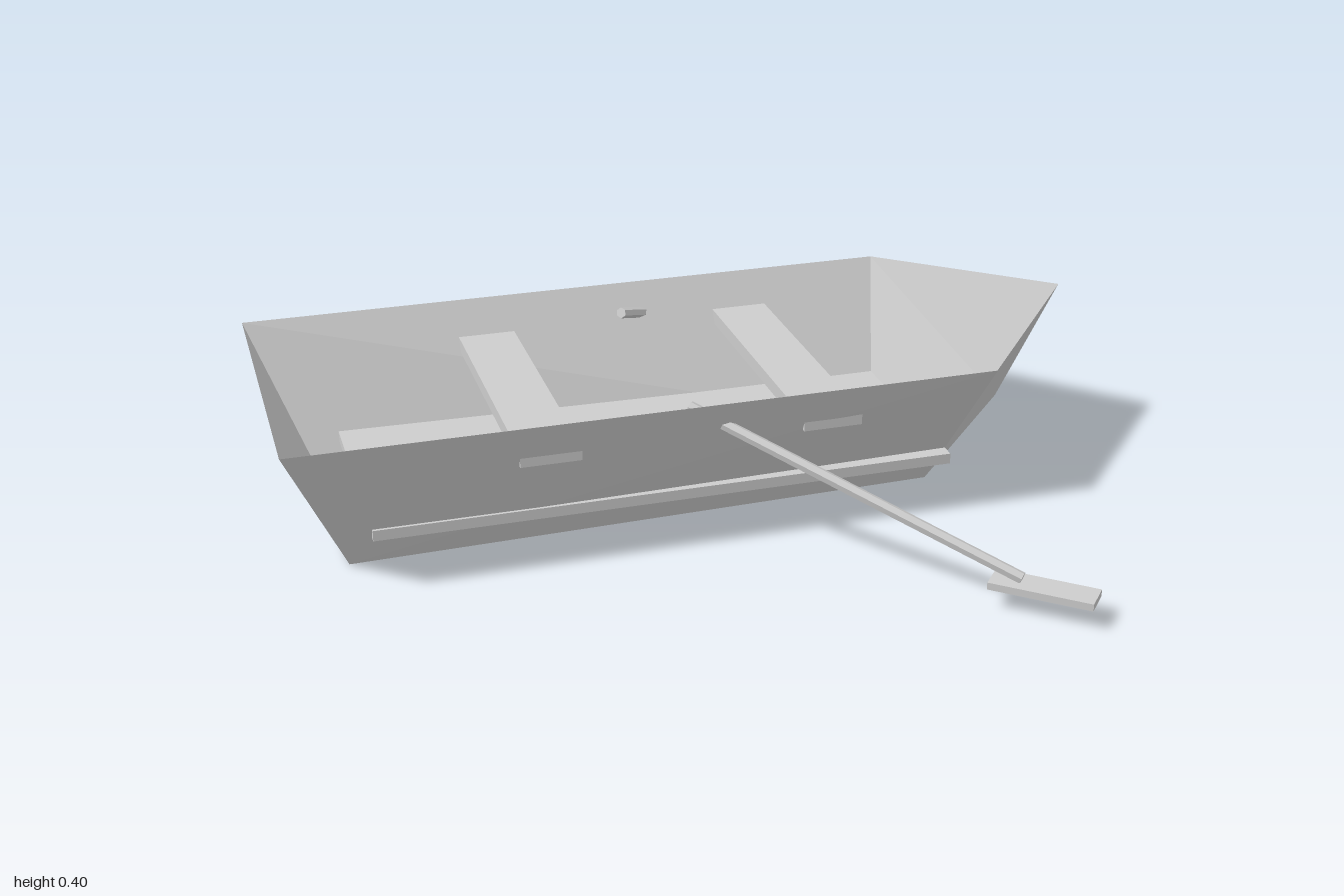
import * as THREE from 'three';

const v = (x, y, z) => new THREE.Vector3(x, y, z);

// Flat faces (3 or 4 corners each) as one unindexed surface
function facesGeometry(faces) {
  const pts = [];
  for (const f of faces) {
    for (let i = 1; i < f.length - 1; i++) pts.push(f[0], f[i], f[i + 1]);
  }
  const g = new THREE.BufferGeometry().setFromPoints(pts);
  g.computeVertexNormals();
  return g;
}

export function createModel() {
  const boat = new THREE.Group();
  boat.name = 'rowingBoat';
  const grey = new THREE.MeshStandardMaterial({ color: 0xcccccc, flatShading: true, side: THREE.DoubleSide });
  grey.name = 'paleGrey';

  const add = (name, geometry, parent = boat) => {
    const m = new THREE.Mesh(geometry, grey);
    m.name = name;
    parent.add(m);
    return m;
  };
  const box = (name, size, pos, parent) => {
    const m = add(name, new THREE.BoxGeometry(...size), parent);
    m.position.set(...pos);
    return m;
  };

  // Open hull shell: corners on the +z side, mirrored for the other side
  const side = (s) => ({
    sternLow: v(-0.85, 0, 0.22 * s), sternTop: v(-1, 0.37, 0.4 * s),
    bowLow: v(0.58, 0, 0.18 * s), bowTop: v(0.65, 0.37, 0.4 * s),
  });
  const L = side(1), R = side(-1);
  const keel = v(0.845, 0.112, 0), tip = v(1, 0.4, 0);
  add('hull', facesGeometry([
    [L.sternLow, L.bowLow, L.bowTop, L.sternTop],
    [R.bowLow, R.sternLow, R.sternTop, R.bowTop],
    [L.bowLow, keel, tip, L.bowTop],
    [keel, R.bowLow, R.bowTop, tip],
    [R.sternLow, L.sternLow, L.sternTop, R.sternTop],
    [R.sternLow, R.bowLow, L.bowLow, L.sternLow],
    [L.bowLow, R.bowLow, keel],
  ]));

  // Floor board, its edges passing through the hull as side rails
  box('floorBoard', [1.4, 0.026, 0.56], [-0.1, 0.095, 0]);

  // Bench seats
  for (const x of [-0.403, 0.265]) box('seat', [0.142, 0.034, 0.71], [x, 0.272, 0]);

  // Oars: slanted shaft and flat blade on each side
  for (const s of [1, -1]) {
    const oar = new THREE.Group();
    oar.name = s > 0 ? 'frontOar' : 'backOar';
    boat.add(oar);
    const inner = v(-0.065, 0.328, 0.3 * s), outer = v(0.53, 0.073, 0.835 * s);
    const dir = outer.clone().sub(inner);
    const shaft = add('oarShaft', new THREE.CylinderGeometry(0.014, 0.014, dir.length(), 6), oar);
    shaft.position.copy(inner).add(outer).multiplyScalar(0.5);
    shaft.quaternion.setFromUnitVectors(v(0, 1, 0), dir.normalize());
    const blade = box('oarBlade', [0.235, 0.017, 0.072], [0.567, 0.057, 0.868 * s], oar);
    blade.rotation.y = -s * 0.71;
  }
  return boat;
}
